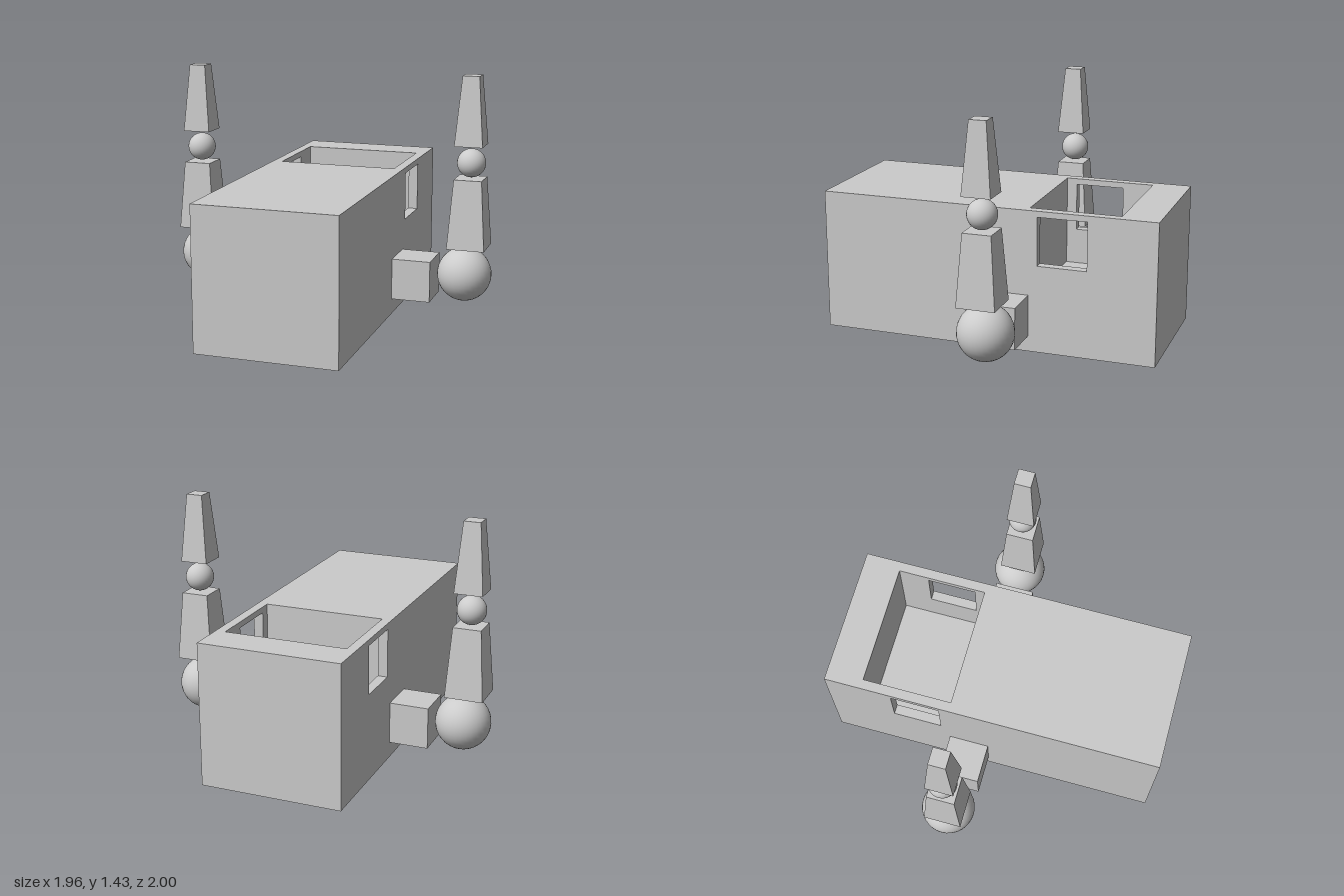
import * as THREE from 'three';
import { mergeGeometries } from 'three/addons/utils/BufferGeometryUtils.js';

const material = new THREE.MeshStandardMaterial({ color: 0xcccccc });
const flat = new THREE.MeshStandardMaterial({ color: 0xcccccc, flatShading: true });

function rectangle(Type, [u0, u1], [v0, v1]) {
  return new Type([[u0, v0], [u1, v0], [u1, v1], [u0, v1]].map(p => new THREE.Vector2(...p)));
}

// Flat panel across one axis (0 x, 1 y, 2 z), facing dir; u and v are the next two axes in order
function panel(axis, at, dir, u, v, hole) {
  const shape = rectangle(THREE.Shape, u, v);
  if (hole) shape.holes.push(rectangle(THREE.Path, ...hole));
  const geometry = new THREE.ShapeGeometry(shape);
  const pos = geometry.attributes.position;
  for (let i = 0; i < pos.count; i++) {
    const c = [];
    c[axis] = at;
    c[(axis + 1) % 3] = pos.getX(i);
    c[(axis + 2) % 3] = pos.getY(i);
    pos.setXYZ(i, ...c);
  }
  if (dir < 0) geometry.setIndex(Array.from(geometry.index.array).reverse());
  geometry.computeVertexNormals();
  return geometry;
}

// Long block with an open compartment in the rear and a window through each side
function bodyGeometry() {
  const W = 0.415, H = 0.835, floor = 0.3, P = 0.358;
  const X = [-W, W], Y = [0, H], Z = [-1, 1];
  const pitX = [-P, P], pitY = [floor, H], pitZ = [-0.78, -0.25];
  const winY = [0.515, 0.8], winZ = [-0.6, -0.31];
  const parts = [
    panel(2, 1, 1, X, Y),
    panel(2, -1, -1, X, Y),
    panel(1, 0, -1, Z, X),
    panel(1, H, 1, Z, X, [pitZ, pitX]),
    // compartment floor and end walls
    panel(1, floor, 1, pitZ, pitX),
    panel(2, pitZ[0], 1, pitX, pitY),
    panel(2, pitZ[1], -1, pitX, pitY),
  ];
  for (const s of [-1, 1]) {
    const wall = s > 0 ? [P, W] : [-W, -P];
    parts.push(
      panel(0, s * W, s, Y, Z, [winY, winZ]),
      panel(0, s * P, -s, pitY, pitZ, [winY, winZ]),
      // window reveals
      panel(1, winY[0], 1, winZ, wall),
      panel(1, winY[1], -1, winZ, wall),
      panel(2, winZ[0], 1, wall, winY),
      panel(2, winZ[1], -1, wall, winY),
    );
  }
  return mergeGeometries(parts);
}

function addMesh(group, name, geometry, mat, x, y, z) {
  const mesh = new THREE.Mesh(geometry, mat);
  mesh.name = name;
  mesh.position.set(x, y, z);
  group.add(mesh);
}

// Square tapered segment given its half widths
function taper(bottom, top, height) {
  return new THREE.CylinderGeometry(top * Math.SQRT2, bottom * Math.SQRT2, height, 4)
    .rotateY(Math.PI / 4);
}

export function createModel() {
  const model = new THREE.Group();
  model.name = 'model';
  addMesh(model, 'body', bodyGeometry(), flat, 0, 0, 0);

  // Mirrored arms: mount, shoulder ball, lower segment, elbow ball, upper segment
  for (const [side, s] of [['left', 1], ['right', -1]]) {
    const arm = new THREE.Group();
    arm.name = side + 'Arm';
    addMesh(arm, 'mount', new THREE.BoxGeometry(0.23, 0.245, 0.24), flat, s * 0.53, 0.215, -0.14);
    addMesh(arm, 'shoulderBall', new THREE.SphereGeometry(0.16, 32, 20), material, s * 0.822, 0.25, -0.155);
    addMesh(arm, 'lowerSegment', taper(0.111, 0.082, 0.41), flat, s * 0.847, 0.625, -0.146);
    addMesh(arm, 'elbowBall', new THREE.SphereGeometry(0.084, 32, 20), material, s * 0.85, 0.92, -0.15);
    addMesh(arm, 'upperSegment', taper(0.083, 0.049, 0.405), flat, s * 0.847, 1.228, -0.143);
    model.add(arm);
  }
  return model;
}
